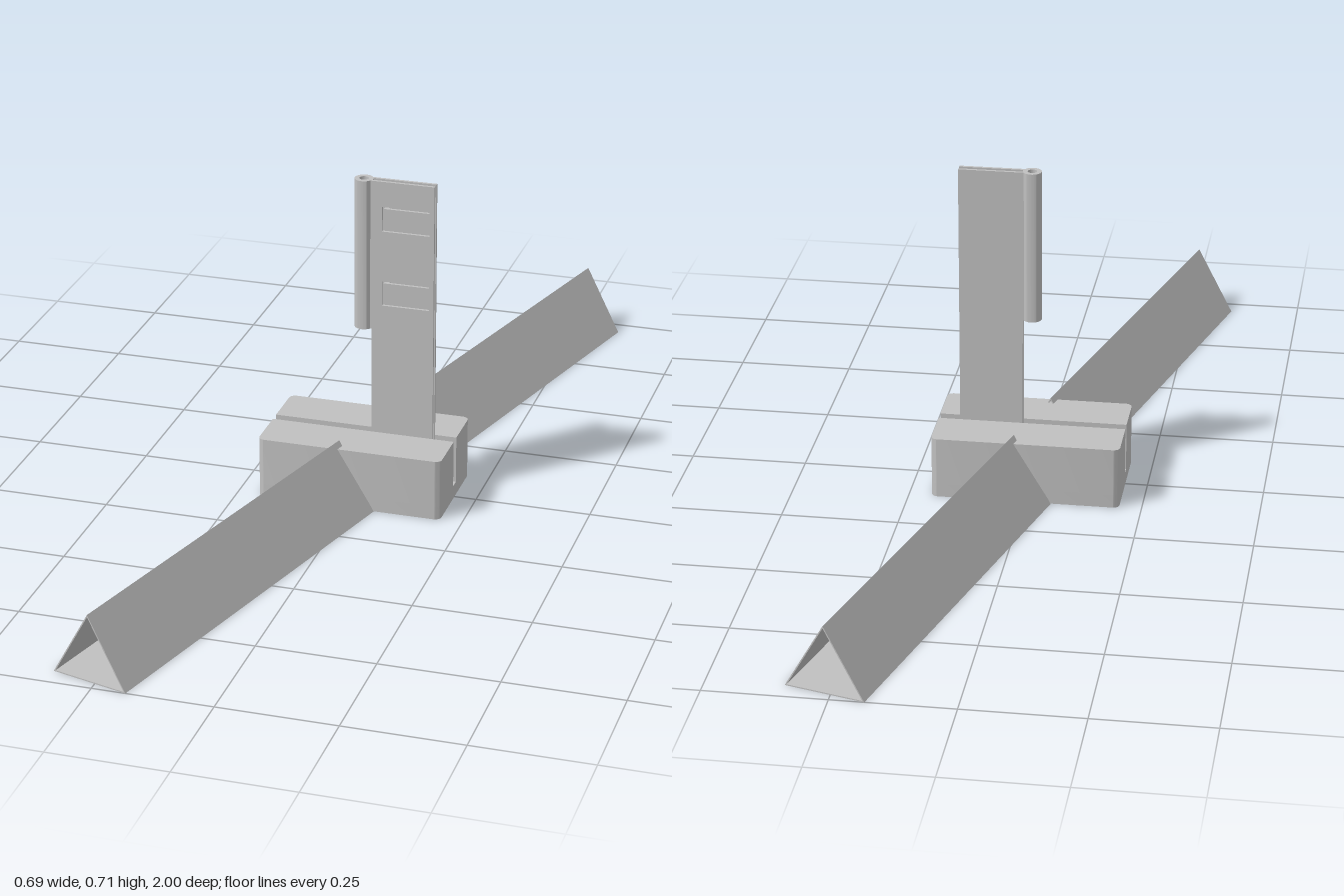
import * as THREE from 'three';
import { toCreasedNormals } from 'three/addons/utils/BufferGeometryUtils.js';

const grey = new THREE.MeshStandardMaterial({ color: 0xc0c0c0 });
grey.name = 'plain grey';

const polygon = (pts, Type = THREE.Shape) => new Type(pts.map(p => new THREE.Vector2(...p)));

function extrude(name, shape, depth) {
  const geo = new THREE.ExtrudeGeometry(shape, { depth, bevelEnabled: false, curveSegments: 20 });
  const mesh = new THREE.Mesh(toCreasedNormals(geo, 0.6), grey);
  mesh.name = name;
  return mesh;
}

// Rectangle whose corners can be rounded; rBottom / rTop are the radii at y0 / y1
function roundedRect(x0, x1, y0, y1, rBottom, rTop) {
  const s = new THREE.Shape();
  s.moveTo(x0 + rBottom, y0);
  s.lineTo(x1 - rBottom, y0);
  if (rBottom) s.absarc(x1 - rBottom, y0 + rBottom, rBottom, -Math.PI / 2, 0);
  s.lineTo(x1, y1 - rTop);
  if (rTop) s.absarc(x1 - rTop, y1 - rTop, rTop, 0, Math.PI / 2);
  s.lineTo(x0 + rTop, y1);
  if (rTop) s.absarc(x0 + rTop, y1 - rTop, rTop, Math.PI / 2, Math.PI);
  s.lineTo(x0, y0 + rBottom);
  if (rBottom) s.absarc(x0 + rBottom, y0 + rBottom, rBottom, Math.PI, Math.PI * 1.5);
  return s;
}

// Upright extrusion of a floor plan
function slab(name, plan, y0, y1) {
  const m = extrude(name, plan, y1 - y0);
  m.rotation.x = -Math.PI / 2;
  m.position.y = y0;
  return m;
}

export function createModel() {
  const model = new THREE.Group();
  model.name = 'slottedStand';

  // Base block with a slot running across it
  const W = 0.202, D = 0.117, R = 0.014, slot = 0.011, slotFloor = 0.03, baseTop = 0.135;
  const base = new THREE.Group();
  base.name = 'base';
  base.add(
    slab('baseFloor', roundedRect(-W, W, -D, D, R, R), 0, slotFloor),
    slab('baseBack', roundedRect(-W, W, slot, D, 0, R), slotFloor, baseTop),
    slab('baseFront', roundedRect(-W, W, -D, -slot, R, 0), slotFloor, baseTop),
  );
  model.add(base);

  // Two hollow triangular legs, turned 15 degrees
  const h = 0.147, half = h / Math.sqrt(3), wall = 0.0025;
  const k = 1 - wall / (h / 3);
  const tri = [[-half, 0], [half, 0], [0, h]];
  const section = polygon(tri);
  section.holes.push(polygon(tri.map(([x, y]) => [x * k, h / 3 + (y - h / 3) * k]).reverse(), THREE.Path));
  const start = 0.1, end = 1.013;
  ['frontLeg', 'backLeg'].forEach((name, i) => {
    const leg = new THREE.Group();
    leg.name = name;
    const tube = extrude(name + 'Tube', section, end - start);
    tube.position.z = start;
    leg.add(tube);
    leg.rotation.y = -Math.PI / 12 + i * Math.PI;
    model.add(leg);
  });

  // Upright made of two parallel sheets with an open gap between them
  const top = 0.71, sleeveBottom = 0.375, inner = 0.005;
  const outline = [[0.02, slotFloor], [0.155, slotFloor], [0.155, top], [0.014, top], [0.014, sleeveBottom], [0.02, sleeveBottom]];
  const backSheet = extrude('backSheet', polygon(outline), slot - inner);
  backSheet.position.z = -slot;

  // Front sheet has two spring tabs cut free by U-shaped slits
  const frontShape = polygon(outline);
  const x0 = 0.042, x1 = 0.145, g = 0.004;
  const tabs = [[0.431, 0.486], [0.599, 0.654]];
  for (const [y0, y1] of tabs) {
    frontShape.holes.push(polygon([
      [x0, y0], [x0, y1], [x1, y1], [x1, y1 - g], [x0 + g, y1 - g],
      [x0 + g, y0 + g], [x1, y0 + g], [x1, y0],
    ], THREE.Path));
    // Catch on the inner side of the tab's free end
    const catchMesh = new THREE.Mesh(new THREE.BoxGeometry(0.012, y1 - y0 - 2 * g, 0.006), grey);
    catchMesh.name = 'tabCatch';
    catchMesh.position.set(x0 + g + 0.006, (y0 + y1) / 2, inner - 0.002);
    model.add(catchMesh);
  }
  const frontSheet = extrude('frontSheet', frontShape, slot - inner);
  frontSheet.position.z = inner;
  model.add(backSheet, frontSheet);

  // Hollow hinge sleeve on the upper edge
  const ring = new THREE.Shape().absarc(0, 0, 0.02, 0, Math.PI * 2);
  ring.holes.push(new THREE.Path().absarc(0, 0, 0.01, 0, Math.PI * 2, true));
  model.add(slab('hingeSleeve', ring, sleeveBottom, top));

  return model;
}
